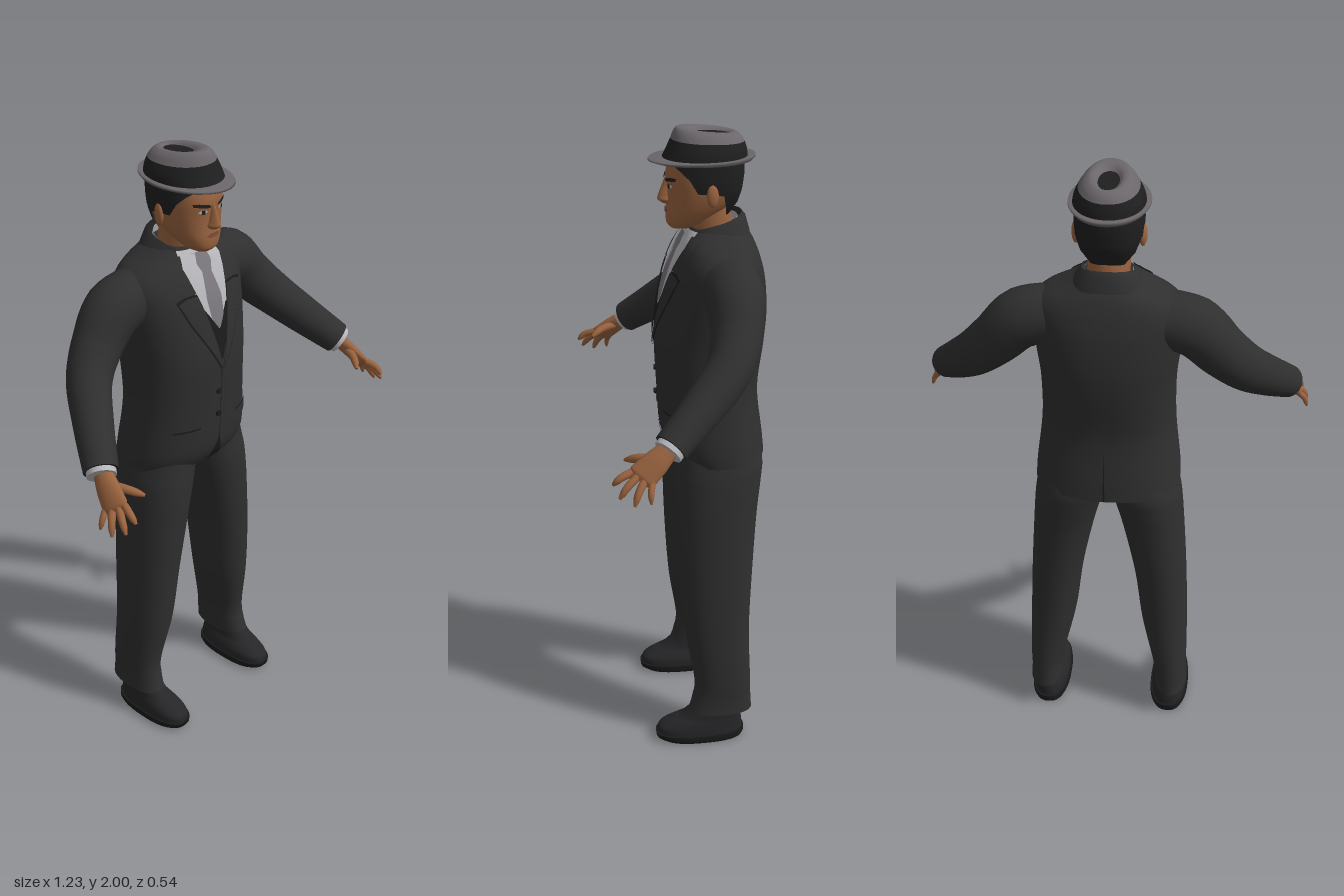
import * as THREE from 'three';

const V = (x, y, z) => new THREE.Vector3(x, y, z);
const lerp = THREE.MathUtils.lerp;
const COLORS = {
  suit: 0x2f2f30, seam: 0x1b1b1c, shoe: 0x262628, skin: 0x99633f, lip: 0x7d4a38,
  hair: 0x201f20, hat: 0x6b666a, shirt: 0xb6b6ba, tie: 0x7a767c,
};

// Skins a list of point rings; optional flat end caps
function skin(rings, { closed = true, caps = true } = {}) {
  const n = rings[0].length, pos = [], index = [];
  const push = p => pos.push(p.x, p.y, p.z);
  rings.forEach(r => r.forEach(push));
  const m = closed ? n : n - 1;
  for (let i = 0; i < rings.length - 1; i++) {
    for (let j = 0; j < m; j++) {
      const a = i * n + j, b = i * n + (j + 1) % n;
      index.push(a, b, a + n, b, b + n, a + n);
    }
  }
  if (caps && closed) {
    [rings[0], rings[rings.length - 1]].forEach((r, end) => {
      const c = pos.length / 3;
      push(r.reduce((s, p) => s.add(p), V(0, 0, 0)).divideScalar(n));
      r.forEach(push);
      for (let j = 0; j < n; j++) {
        const a = c + 1 + j, b = c + 1 + (j + 1) % n;
        if (end) index.push(c, a, b); else index.push(c, b, a);
      }
    });
  }
  const g = new THREE.BufferGeometry();
  g.setAttribute('position', new THREE.Float32BufferAttribute(pos, 3));
  g.setIndex(index);
  g.computeVertexNormals();
  return g;
}

// Row: [y, x0, x1, zBack, zFront, tilt, openAngle]; smooth() adds spline rows between
const sym = rows => rows.map(([y, w, zb, zf, tilt = 0, open = 0]) => [y, -w, w, zb, zf, tilt, open]);
const side = rows => rows.map(r => [...r, 0, 0]);
function smooth(rows, k = 5) {
  const out = [], at = i => rows[Math.min(Math.max(i, 0), rows.length - 1)];
  for (let i = 0; i < rows.length - 1; i++) {
    for (let s = 0; s < k; s++) {
      const t = s / k;
      out.push(rows[i].map((_, c) => {
        const [a, b, d, e] = [at(i - 1)[c], at(i)[c], at(i + 1)[c], at(i + 2)[c]];
        return b + 0.5 * t * (d - a + t * (2 * a - 5 * b + 4 * d - e + t * (3 * (b - d) + e - a)));
      }));
    }
  }
  out.push(rows[rows.length - 1]);
  return out;
}

// Horizontal rounded sections stacked along y
function loft(rows, { p = 2.3, seg = 48, open = false, caps = true } = {}) {
  const pw = v => Math.sign(v) * Math.abs(v) ** (2 / p);
  const rings = rows.map(([y, x0, x1, zb, zf, tilt, o]) =>
    Array.from({ length: open ? seg + 1 : seg }, (_, j) => {
      const t = o + (2 * Math.PI - 2 * o) * j / seg;
      return V((x0 + x1) / 2 + (x1 - x0) / 2 * pw(Math.sin(t)), y + tilt * Math.cos(t),
        (zb + zf) / 2 + (zf - zb) / 2 * pw(Math.cos(t)));
    }));
  return skin(rings, { closed: !open, caps });
}

// Tapered tube; radii are [across, thick], ref sets the thick direction
function limb(points, radii, ref = V(0, 1, 0), seg = 20, steps = 20) {
  const curve = new THREE.CatmullRomCurve3(points), rings = [];
  for (let i = 0; i <= steps; i++) {
    const t = i / steps, f = t * (radii.length - 1), k = Math.min(Math.floor(f), radii.length - 2);
    const [a, b] = [0, 1].map(c => lerp(radii[k][c], radii[k + 1][c], f - k));
    const c = curve.getPoint(t), d = curve.getTangent(t);
    const u = ref.clone().cross(d).normalize(), v = d.clone().cross(u);
    rings.push(Array.from({ length: seg }, (_, j) => {
      const q = 2 * Math.PI * j / seg;
      return c.clone().addScaledVector(u, a * Math.cos(q)).addScaledVector(v, b * Math.sin(q));
    }));
  }
  return skin(rings);
}

// Thin panel [y, x0, x1] lying on the front (s = 1) or back (s = -1) of a loft
function panel(table, rows, off, s = 1, p = 2.3) {
  const surf = (x, y) => {
    let i = 0;
    while (i < table.length - 2 && table[i + 1][0] < y) i++;
    const A = table[i], B = table[i + 1], t = Math.min(Math.max((y - A[0]) / (B[0] - A[0]), 0), 1);
    const [w, zb, zf] = [2, 3, 4].map(c => lerp(A[c], B[c], t));
    const h = Math.max(0, 1 - Math.abs(x / w) ** p) ** (1 / p);
    return (zb + zf) / 2 + s * ((zf - zb) / 2 * h + off);
  };
  const rings = [];
  for (let i = 0; i < rows.length - 1; i++) {
    for (let k = i ? 1 : 0; k <= 6; k++) {
      const [y, a, b] = rows[i].map((v, c) => lerp(v, rows[i + 1][c], k / 6));
      rings.push(Array.from({ length: 9 }, (_, j) => {
        const x = s > 0 ? lerp(a, b, j / 8) : lerp(b, a, j / 8);
        return V(x, y, surf(x, y));
      }));
    }
  }
  return skin(rings, { closed: false });
}

function mirrored(geo) {
  const g = geo.clone().scale(-1, 1, 1), ix = g.index.array;
  for (let i = 0; i < ix.length; i += 3) [ix[i], ix[i + 1]] = [ix[i + 1], ix[i]];
  g.computeVertexNormals();
  return g;
}

export function createModel() {
  const group = new THREE.Group(), mats = {};
  for (const [name, color] of Object.entries(COLORS)) {
    mats[name] = new THREE.MeshStandardMaterial({ color, side: THREE.DoubleSide });
    mats[name].name = name;
  }
  const add = (name, geo, mat) => {
    const mesh = new THREE.Mesh(geo, mats[mat]);
    mesh.name = name;
    group.add(mesh);
  };
  const pair = (name, geo, mat) => {
    add(name + 'Left', geo, mat);
    add(name + 'Right', mirrored(geo), mat);
  };

  // Jacket body
  const torso = smooth(sym([
    [0.99, 0.225, -0.268, 0.03], [1.05, 0.222, -0.262, 0.056], [1.2, 0.205, -0.245, 0.066],
    [1.35, 0.203, -0.262, 0.072], [1.45, 0.212, -0.268, 0.06], [1.55, 0.222, -0.26, 0.037],
    [1.61, 0.222, -0.246, 0.014], [1.65, 0.19, -0.232, -0.005], [1.68, 0.13, -0.217, -0.02],
    [1.705, 0.085, -0.195, -0.035]]));
  add('jacketBody', loft(torso, { seg: 64 }), 'suit');
  add('jacketCollar', loft(sym([[1.67, 0.112, -0.215, -0.02, -0.02, 0.8],
    [1.705, 0.092, -0.202, -0.018, -0.03, 0.85], [1.722, 0.078, -0.19, -0.02, -0.026, 0.95]]),
  { open: true }), 'suit');

  // Sleeves and shirt cuffs
  pair('sleeve', limb([V(0.13, 1.575, -0.125), V(0.25, 1.55, -0.13), V(0.33, 1.47, -0.12),
    V(0.40, 1.395, -0.085), V(0.47, 1.312, 0), V(0.54, 1.228, 0.1)],
  [[0.09, 0.085], [0.088, 0.09], [0.076, 0.08], [0.068, 0.072], [0.06, 0.063], [0.052, 0.052]],
  V(0, 1, 0), 28, 30), 'suit');
  pair('shirtCuff', limb([V(0.525, 1.245, 0.08), V(0.547, 1.219, 0.11)], [[0.044, 0.044], [0.044, 0.044]]), 'shirt');

  // Shirt front, vest, tie, lapels
  add('shirtFront', panel(torso, [[1.46, -0.035, 0.035], [1.66, -0.085, 0.085], [1.7, -0.068, 0.068]], 0.003), 'shirt');
  pair('vest', panel(torso, [[1.36, 0, 0.002], [1.46, 0, 0.04], [1.53, 0.045, 0.055]], 0.005), 'seam');
  add('tie', panel(torso, [[1.465, -0.004, 0.004], [1.5, -0.026, 0.026], [1.56, -0.031, 0.031], [1.635, -0.018, 0.018]], 0.007), 'tie');
  add('tieKnot', panel(torso, [[1.63, -0.017, 0.017], [1.66, -0.03, 0.03], [1.69, -0.022, 0.022]], 0.0095), 'tie');
  pair('lapelEdge', panel(torso, [[1.33, 0, 0.008], [1.5, 0.04, 0.106], [1.575, 0.06, 0.136], [1.585, 0.063, 0.108]], 0.007), 'seam');
  pair('lapel', panel(torso, [[1.335, 0, 0.004], [1.5, 0.041, 0.1], [1.57, 0.06, 0.13], [1.58, 0.063, 0.104]], 0.0095), 'suit');
  pair('upperLapel', panel(torso, [[1.588, 0.065, 0.11], [1.605, 0.07, 0.13], [1.66, 0.082, 0.118], [1.69, 0.07, 0.1]], 0.0095), 'suit');

  // Front closing, hem cutaway, pockets, buttons, back vent
  add('frontClosing', panel(torso, [[1.08, 0.002, 0.005], [1.34, -0.002, 0.001]], 0.003), 'seam');
  add('hemCutaway', panel(torso, [[0.992, -0.03, 0.03], [1.08, 0.001, 0.005]], 0.003), 'seam');
  pair('pocketFlap', panel(torso, [[1.1, 0.08, 0.165], [1.138, 0.08, 0.165]], 0.005), 'suit');
  pair('pocketSeam', panel(torso, [[1.138, 0.08, 0.165], [1.144, 0.08, 0.165]], 0.005), 'seam');
  [1.25, 1.17].forEach((y, i) => add('jacketButton' + (i + 1),
    new THREE.CylinderGeometry(0.009, 0.009, 0.008, 14).rotateX(Math.PI / 2).translate(-0.01, y, 0.071), 'seam'));
  add('backVent', panel(torso, [[0.992, -0.003, 0.003], [1.15, -0.001, 0.001]], 0.003, -1), 'seam');

  // Trousers
  pair('trouserLeg', loft(smooth(side([
    [0.105, 0.162, 0.272, -0.215, -0.003], [0.15, 0.16, 0.268, -0.212, -0.016], [0.22, 0.152, 0.268, -0.21, -0.024],
    [0.4, 0.112, 0.264, -0.206, 0.004], [0.6, 0.086, 0.255, -0.215, 0.02], [0.8, 0.046, 0.242, -0.23, 0.03],
    [0.92, 0.016, 0.232, -0.245, 0.032], [0.98, 0, 0.222, -0.25, 0.028], [1.06, -0.01, 0.2, -0.235, 0.025]])),
  { p: 2.2, seg: 36 }), 'suit');

  // Shoes
  pair('shoeSole', loft(side([[0, 0.15, 0.27, -0.185, 0.085], [0.012, 0.144, 0.276, -0.19, 0.104],
    [0.028, 0.146, 0.274, -0.19, 0.106]]), { p: 2.5 }), 'seam');
  pair('shoeUpper', loft(smooth(side([[0.026, 0.15, 0.27, -0.184, 0.1], [0.05, 0.152, 0.268, -0.183, 0.095],
    [0.07, 0.16, 0.265, -0.181, 0.06], [0.088, 0.168, 0.262, -0.178, 0.02], [0.13, 0.172, 0.26, -0.175, -0.025]])),
  { p: 2.4 }), 'shoe');

  // Hands
  const knuckle = V(0.57, 1.16, 0.185), wrist = V(0.537, 1.23, 0.1);
  const across = V(0.33, -0.37, -0.87).normalize();
  const palmUp = knuckle.clone().sub(wrist).cross(across).normalize();
  pair('palm', limb([wrist, V(0.555, 1.195, 0.143), knuckle, V(0.574, 1.152, 0.194)],
    [[0.028, 0.023], [0.038, 0.021], [0.043, 0.015], [0.03, 0.008]], palmUp), 'skin');
  const tips = [V(0.57, 1.14, 0.268), V(0.595, 1.108, 0.252), V(0.612, 1.09, 0.212), V(0.612, 1.094, 0.165)];
  const finger = (name, base, tip, r) => {
    const mid = base.clone().lerp(tip, 0.55).add(V(0.004, 0.005, 0.003));
    pair(name, limb([base, mid, tip], [1, 1.02, 0.95, 0.85, 0.35].map(k => [r * k, r * k]), palmUp, 10, 10), 'skin');
  };
  ['indexFinger', 'middleFinger', 'ringFinger', 'littleFinger'].forEach((name, i) =>
    finger(name, knuckle.clone().addScaledVector(across, -0.032 + i * 0.0213), tips[i], i === 3 ? 0.0095 : 0.0115));
  finger('thumb', V(0.541, 1.2, 0.145), V(0.491, 1.178, 0.225), 0.0135);

  // Neck and shirt collar
  add('neck', limb([V(0, 1.63, -0.11), V(0, 1.78, -0.09)], [[0.062, 0.07], [0.062, 0.065]], V(0, 0, 1)), 'skin');
  add('shirtCollar', loft(sym([[1.675, 0.082, -0.19, -0.012, -0.015, 0.12], [1.712, 0.07, -0.178, -0.018, -0.024, 0.25]]),
    { open: true }), 'shirt');

  // Head and face
  const headRows = sym([[1.703, 0.03, -0.04, 0.022], [1.716, 0.05, -0.07, 0.034], [1.745, 0.07, -0.12, 0.037],
    [1.78, 0.084, -0.16, 0.034], [1.82, 0.092, -0.18, 0.034], [1.86, 0.094, -0.187, 0.037],
    [1.9, 0.094, -0.187, 0.028], [1.94, 0.082, -0.165, 0.005]]);
  const head = smooth(headRows);
  add('head', loft(head), 'skin');
  add('nose', loft(smooth(sym([[1.776, 0.012, 0, 0.046], [1.787, 0.02, 0, 0.061], [1.8, 0.016, 0, 0.06],
    [1.83, 0.01, 0, 0.049], [1.855, 0.009, 0, 0.039]])), { p: 2, seg: 20 }), 'skin');
  add('mouth', panel(head, [[1.75, -0.014, 0.014], [1.757, -0.028, 0.028], [1.764, -0.012, 0.012]], 0.003), 'lip');
  pair('eyeWhite', panel(head, [[1.829, 0.03, 0.042], [1.834, 0.022, 0.052], [1.84, 0.028, 0.046]], 0.002), 'shirt');
  pair('eyeIris', panel(head, [[1.828, 0.032, 0.043], [1.841, 0.032, 0.043]], 0.004), 'hair');
  pair('eyebrow', panel(head, [[1.846, 0.012, 0.026], [1.854, 0.018, 0.064], [1.862, 0.05, 0.066]], 0.004), 'hair');
  pair('ear', new THREE.SphereGeometry(1, 16, 12).scale(0.011, 0.034, 0.019).rotateY(0.25).translate(0.096, 1.815, -0.088), 'skin');

  // Hair shell with sideburns
  add('hair', loft(sym([[1.745, 0.072, -0.155, 0.03, 0, 2.45], [1.78, 0.088, -0.178, 0.036, 0, 2.1],
    [1.812, 0.096, -0.189, 0.038, 0, 1.95], [1.822, 0.098, -0.191, 0.039, 0, 1.35], [1.86, 0.1, -0.196, 0.042, 0, 1.15],
    [1.885, 0.1, -0.196, 0.04, 0, 0.85], [1.905, 0.1, -0.195, 0.035, 0, 0.3], [1.92, 0.096, -0.19, 0.025, 0, 0]]),
  { open: true }), 'hair');

  // Hat
  add('hatBrim', loft(sym([[1.9, 0.09, -0.18, 0.025], [1.903, 0.112, -0.222, 0.08], [1.909, 0.117, -0.23, 0.09, -0.003],
    [1.915, 0.116, -0.229, 0.087, -0.004], [1.914, 0.098, -0.2, 0.045]]), { p: 2 }), 'hat');
  add('hatBand', loft(smooth(sym([[1.908, 0.104, -0.207, 0.05], [1.935, 0.099, -0.203, 0.036],
    [1.962, 0.086, -0.196, 0.022, 0.005]])), { p: 2.1, caps: false }), 'hair');
  add('hatCrown', loft(smooth(sym([[1.962, 0.086, -0.196, 0.022, 0.005], [1.98, 0.072, -0.186, 0.014, 0.008],
    [1.991, 0.055, -0.172, 0.002, 0.009], [1.989, 0.04, -0.16, -0.025, 0.007], [1.98, 0.03, -0.152, -0.045, 0.003]])),
  { p: 2.1, caps: false }), 'hat');
  add('hatDent', loft(sym([[1.98, 0.03, -0.152, -0.045, 0.003], [1.972, 0.015, -0.13, -0.07]]), { p: 2.1 }), 'hair');
  return group;
}
